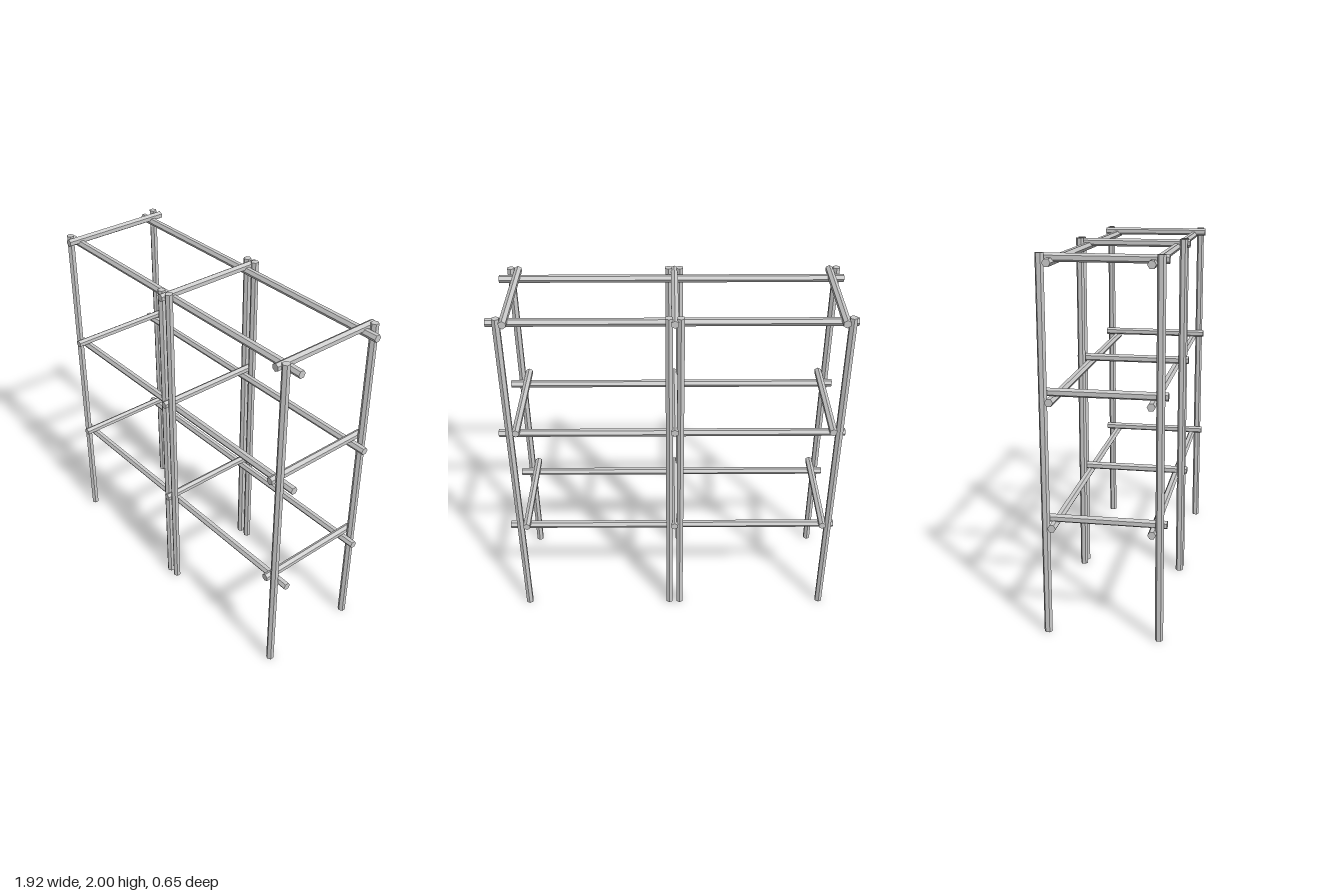
import * as THREE from 'three';

export function createModel() {
  const model = new THREE.Group();
  model.name = 'poleRack';
  const material = new THREE.MeshStandardMaterial({ color: 0xcccccc, flatShading: true });

  // Every part is a six-sided pole, laid along one axis
  function addPole(name, axis, length, x, y, z) {
    const geometry = new THREE.CylinderGeometry(0.022, 0.022, length, 6);
    if (axis === 'x') geometry.rotateZ(Math.PI / 2);
    if (axis === 'z') geometry.rotateX(Math.PI / 2);
    const pole = new THREE.Mesh(geometry, material);
    pole.name = name;
    pole.position.set(x, y, z);
    model.add(pole);
  }

  // Upright posts: one at each end and a pair in the middle, front and back
  for (const x of [-0.921, -0.046, 0.016, 0.896]) {
    addPole('frontPost', 'y', 2, x, 1, 0.293);
    addPole('backPost', 'y', 2, x, 1, -0.301);
  }

  // Three levels of long rails with short crossbars resting on them
  const levels = [
    { railY: 0.599, barY: 0.633, front: 0.257, back: -0.262, bars: [-0.887, -0.015, 0.858] },
    { railY: 1.266, barY: 1.304, front: 0.251, back: -0.262, bars: [-0.885, -0.015, 0.858] },
    { railY: 1.954, barY: 1.974, front: 0.251, back: -0.258, bars: [-0.887, -0.015, 0.861] },
  ];
  for (const { railY, barY, front, back, bars } of levels) {
    addPole('frontRail', 'x', 1.92, 0, railY, front);
    addPole('backRail', 'x', 1.92, 0, railY, back);
    for (const x of bars) addPole('crossbar', 'z', 0.655, x, barY, 0);
  }
  return model;
}
